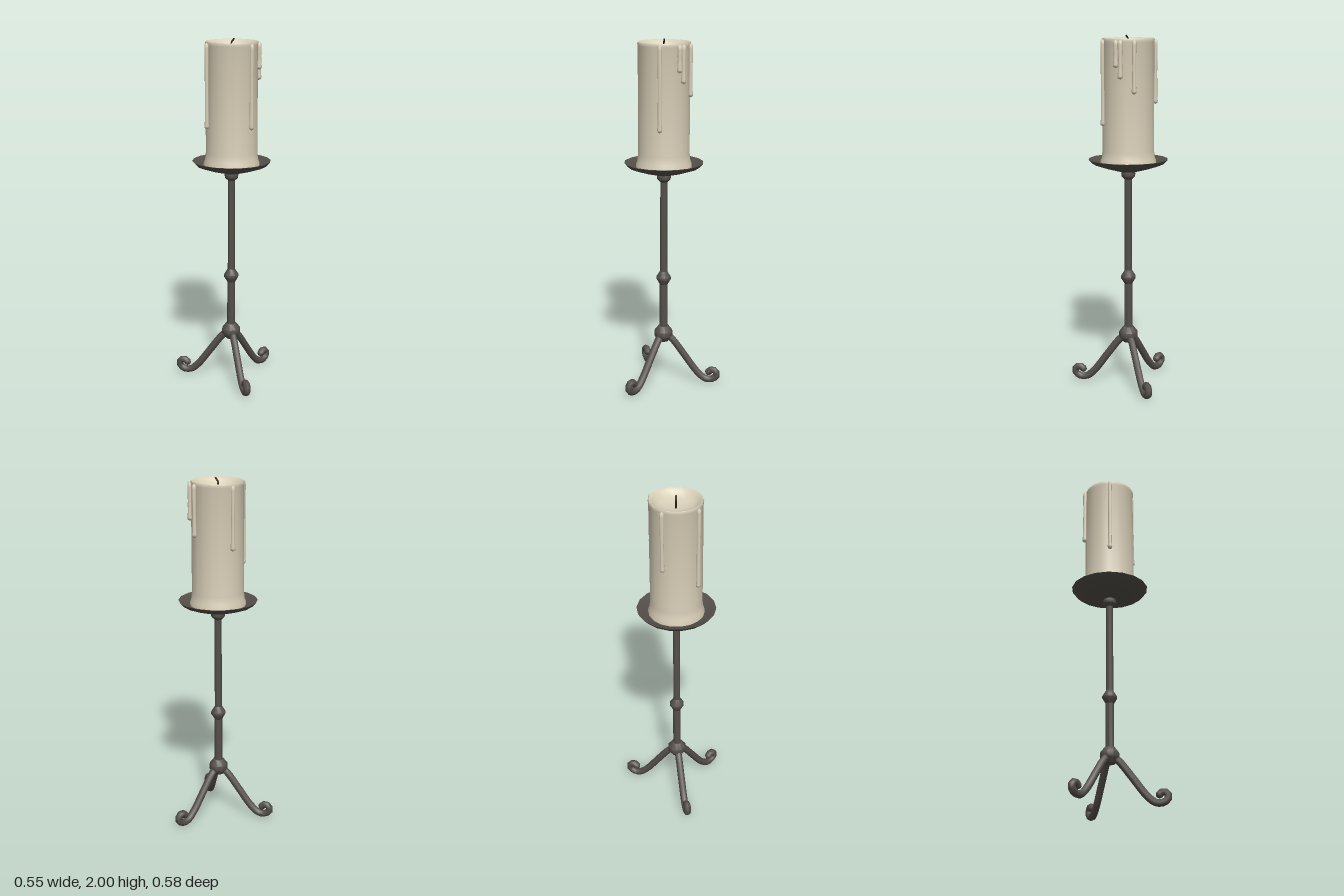
import * as THREE from 'three';
import { toCreasedNormals } from 'three/addons/utils/BufferGeometryUtils.js';

const mat = (name, hex) => {
  const m = new THREE.MeshStandardMaterial({ color: hex });
  m.name = name;
  return m;
};

export function createModel() {
  const iron = mat('dark iron', 0x544f49);
  const wax = mat('cream wax', 0xd9cfb8);
  const char = mat('charred wick', 0x26221f);

  const root = new THREE.Group();
  root.name = 'candleStand';
  const stand = new THREE.Group();
  stand.name = 'standAndCandle';
  stand.position.set(0.056, 0, -0.021);
  root.add(stand);

  const add = (name, geo, material, parent = stand) => {
    const m = new THREE.Mesh(geo, material);
    m.name = name;
    parent.add(m);
    return m;
  };
  // Turned part from [radius, height] pairs, listed bottom to top
  const turned = (name, pts, sides, material, crease = 0.75) => {
    const g = new THREE.LatheGeometry(pts.map(p => new THREE.Vector2(...p)), sides);
    return add(name, toCreasedNormals(g, crease), material);
  };
  const curve = pts => new THREE.CatmullRomCurve3(pts.map(p => new THREE.Vector3(...p)));

  // Stem with its knobs
  turned('stem', [[0.024, 0.3], [0.023, 0.62], [0.021, 0.66], [0.020, 1.26]], 10, iron);
  turned('hub', [[0, 0.25], [0.03, 0.254], [0.054, 0.285], [0.054, 0.315], [0.03, 0.346], [0, 0.35]], 10, iron);
  turned('middleKnob', [[0.022, 0.6], [0.042, 0.633], [0.042, 0.647], [0.02, 0.682]], 10, iron);
  turned('upperCollar', [[0.02, 1.205], [0.038, 1.222], [0.04, 1.24], [0.034, 1.26]], 10, iron);

  // Drip dish
  turned('dish', [[0, 1.248], [0.05, 1.25], [0.13, 1.272], [0.2, 1.296], [0.222, 1.32],
    [0.214, 1.32], [0.19, 1.303], [0.15, 1.294], [0, 1.29]], 18, iron);

  // Three legs ending in upward curls
  const legPath = curve([[0.02, 0.295, 0], [0.06, 0.255, 0], [0.12, 0.175, 0], [0.2, 0.068, 0],
    [0.245, 0.03, 0], [0.285, 0.027, 0], [0.314, 0.05, 0], [0.309, 0.078, 0],
    [0.285, 0.086, 0], [0.268, 0.072, 0]]);
  for (const deg of [187, 307, 67]) {
    const leg = new THREE.Group();
    leg.name = 'leg';
    leg.rotation.y = -THREE.MathUtils.degToRad(deg);
    stand.add(leg);
    add('legRod', new THREE.TubeGeometry(legPath, 26, 0.021, 8), iron, leg);
    const tip = add('curlTip', new THREE.SphereGeometry(0.021, 8, 6), iron, leg);
    tip.position.set(0.268, 0.072, 0);
  }

  // Candle with a flared foot and hollow melted top
  turned('candle', [[0.158, 1.293], [0.157, 1.31], [0.149, 1.33], [0.145, 1.37], [0.144, 1.965],
    [0.147, 1.976], [0.143, 1.985], [0.136, 1.984], [0.126, 1.968], [0.09, 1.945],
    [0.045, 1.935], [0, 1.932]], 18, wax, 0.9);

  // Wax drips: x and z from the axis, lower end, thickness
  const drips = [
    [-0.129, 0.081, 1.515, 0.012], [0.118, 0.09, 1.515, 0.012],
    [0.108, -0.105, 1.695, 0.012], [-0.103, -0.112, 1.63, 0.012],
    [0.149, -0.014, 1.835, 0.013], [0.145, -0.04, 1.775, 0.013],
  ];
  for (const [x, z, low, r] of drips) {
    const h = 1.972 - low;
    const g = new THREE.LatheGeometry([[0, -0.006], [r, 0], [r * 1.2, 0.012], [r * 0.95, 0.035],
      [r * 0.85, h * 0.5], [r, h - 0.02], [r * 0.9, h], [0, h + 0.008]]
      .map(p => new THREE.Vector2(...p)), 8);
    add('waxDrip', g, wax).position.set(x, low, z);
  }

  // Bent wick
  const wick = curve([[0, 1.925, 0], [0, 1.955, 0], [-0.003, 1.975, 0], [0.012, 1.998, 0.005]]);
  add('wick', new THREE.TubeGeometry(wick, 8, 0.005, 6), char);
  add('wickTip', new THREE.SphereGeometry(0.005, 6, 4), char).position.set(0.012, 1.997, 0.005);

  return root;
}
